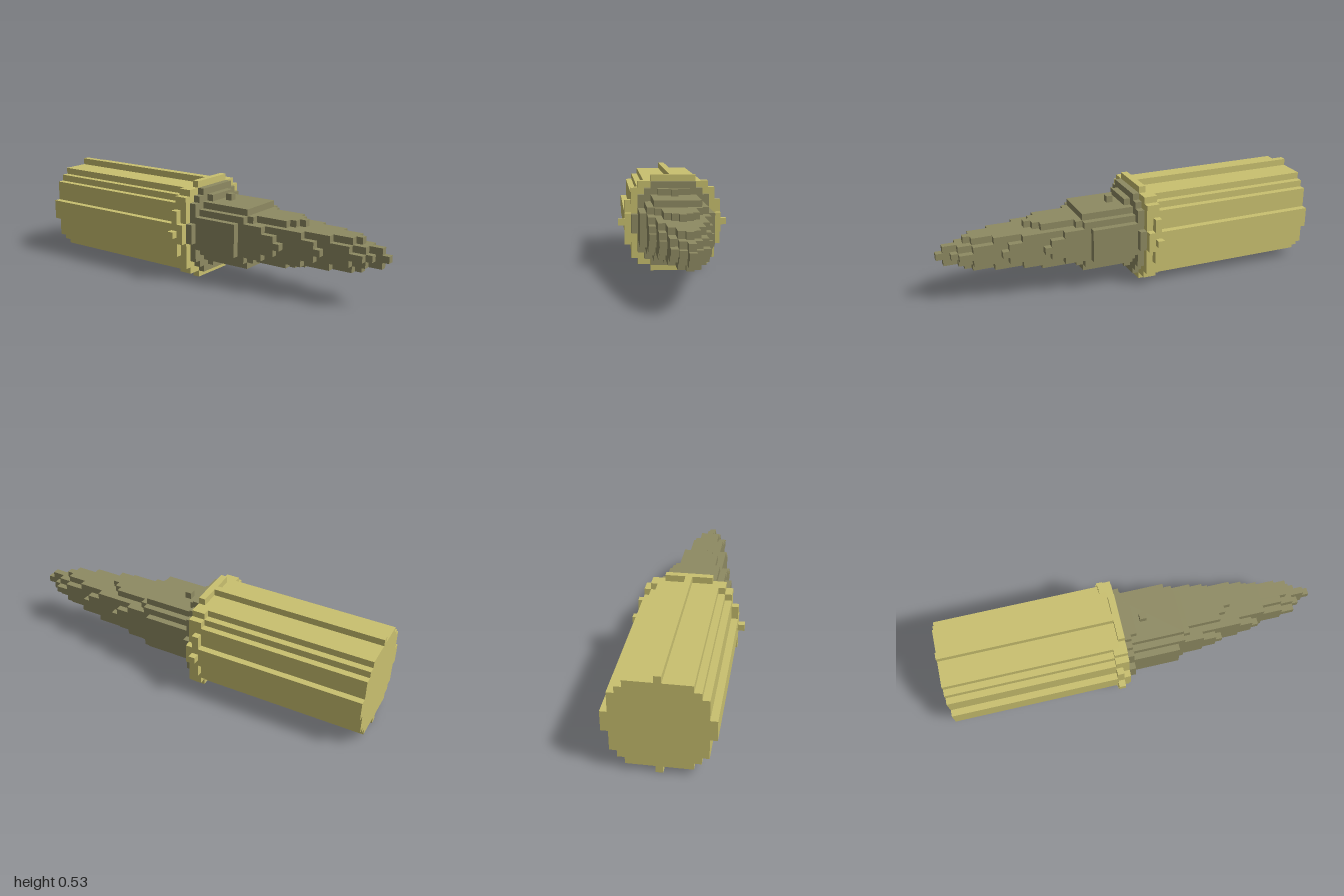
import * as THREE from 'three';

const V = 2 / 57;          // edge of one cube
const AXIS = 7.5 * V;      // height of the long axis
const SEAM = -1 + 27 * V;  // plane where the casing meets the nose

const yellow = new THREE.MeshStandardMaterial({ color: 0xc9c06f, flatShading: true });
const olive = new THREE.MeshStandardMaterial({ color: 0x8e8a62, flatShading: true });

// Block centred on the axis: half width and half height in cubes, from z0 to z1 in cubes past the seam
function block(name, material, [hw, hh, z0, z1]) {
  const mesh = new THREE.Mesh(
    new THREE.BoxGeometry(2 * hw * V, 2 * hh * V, (z1 - z0) * V), material);
  mesh.position.set(0, AXIS, SEAM + (z0 + z1) / 2 * V);
  mesh.name = name;
  return mesh;
}

function part(name, material, blocks) {
  const group = new THREE.Group();
  group.name = name;
  blocks.forEach((b, i) => group.add(block(`${name}Step${i + 1}`, material, b)));
  return group;
}

export function createModel() {
  const model = new THREE.Group();
  model.name = 'steppedCartridge';

  // Long casing with stepped round section and a thin ridge above and below
  model.add(part('casing', yellow, [
    [0.5, 7.5, -27, -1],
    [4.5, 6.5, -27, -1],
    [5.5, 5.5, -27, -1],
    [6.5, 4.5, -27, -1],
    [7.5, 1.5, -27, 0],
  ]));

  // Collar at the front of the casing
  model.add(part('collar', yellow, [
    [3.5, 7.5, -1, 0],
    [5.5, 6.5, -2, 0],
    [6.5, 5.5, -2, 0],
    [7.5, 3.5, -2, -1],
  ]));
  model.add(part('sideKnobs', yellow, [[8.5, 0.5, -2, -1]]));

  // Flange between collar and nose
  model.add(part('flange', olive, [
    [3.5, 6.5, 0, 1],
    [4.5, 5.5, 0, 1],
    [5.5, 4.5, 0, 1],
    [6.5, 1.5, 0, 1],
  ]));

  // Small cleats above and below the nose root
  model.add(part('cleats', olive, [
    [2.5, 5.5, 1, 2],
    [0.5, 5.5, 3, 4],
  ]));

  // Thick root of the nose with raised side panels
  model.add(part('noseRoot', olive, [
    [3.5, 4.5, 1, 9],
    [4.5, 3.5, 1, 9],
    [5.5, 2.5, 1, 8],
  ]));

  // Middle of the nose, stepping inwards
  model.add(part('noseMiddle', olive, [
    [3.5, 3.5, 1, 10],
    [2.5, 3.5, 1, 15],
    [1.5, 3.5, 1, 16],
    [0.5, 3.5, 1, 17],
    [4.5, 2.5, 1, 12],
    [4.5, 1.5, 1, 14],
    [4.5, 0.5, 1, 15],
  ]));

  // Slim front of the nose
  model.add(part('noseFront', olive, [
    [3.5, 2.5, 1, 18],
    [3.5, 1.5, 1, 20],
    [3.5, 0.5, 1, 21],
    [2.5, 2.5, 1, 22],
    [1.5, 2.5, 1, 25],
    [0.5, 2.5, 1, 26],
  ]));

  // Pointed tip
  model.add(part('noseTip', olive, [
    [2.5, 1.5, 1, 25],
    [2.5, 0.5, 1, 27],
    [1.5, 1.5, 1, 27],
    [1.5, 0.5, 1, 28],
    [0.5, 1.5, 1, 29],
    [0.5, 0.5, 1, 30],
  ]));

  return model;
}
